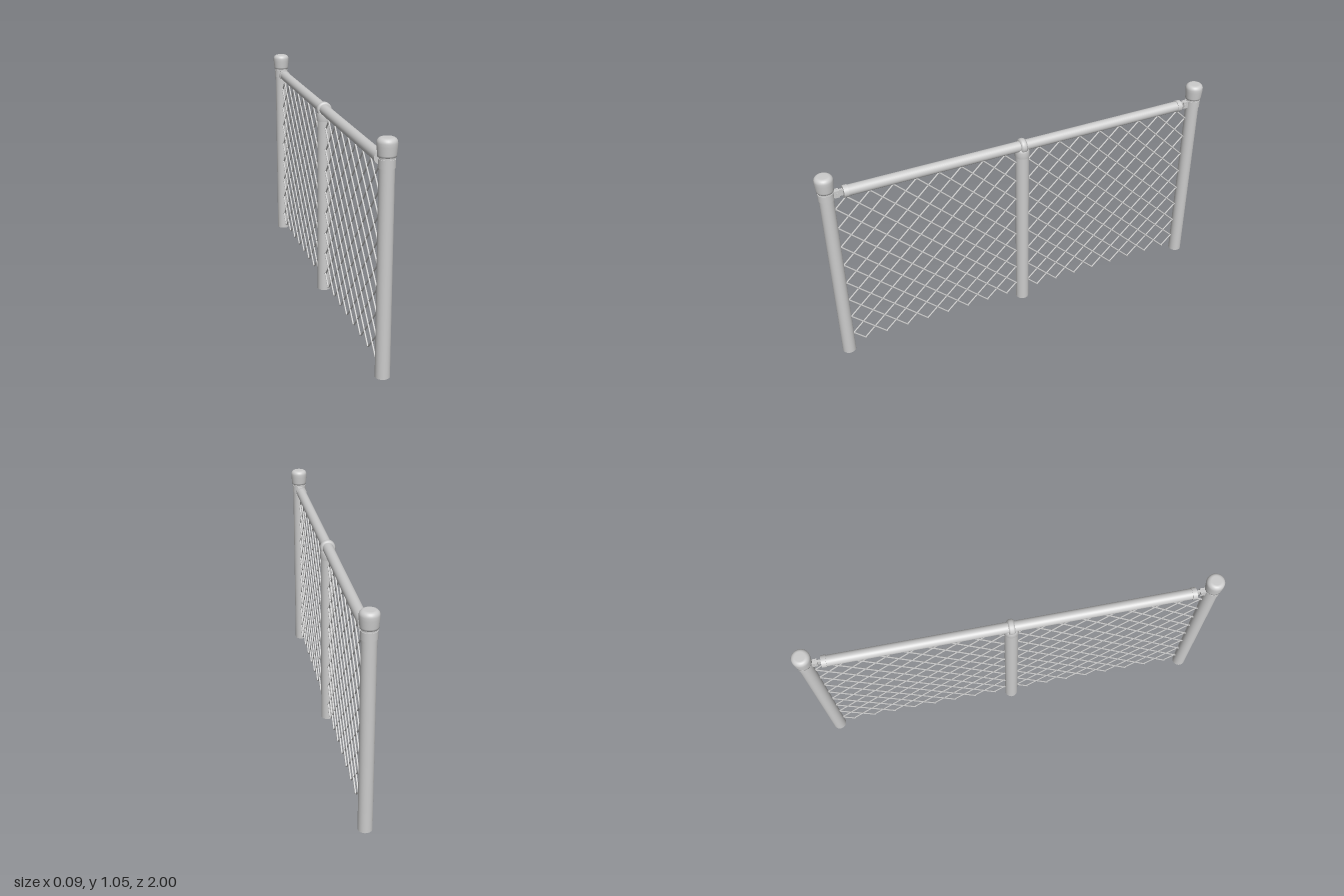
import * as THREE from 'three';

const material = new THREE.MeshStandardMaterial({ color: 0xcccccc });
const V2 = (x, y) => new THREE.Vector2(x, y);
const V3 = (x, y, z) => new THREE.Vector3(x, y, z);

const RAIL_Y = 0.949, POST_Z = 0.957, POST_R = 0.033;

function add(parent, name, geometry, x = 0, y = 0, z = 0) {
  const mesh = new THREE.Mesh(geometry, material);
  mesh.name = name;
  mesh.position.set(x, y, z);
  parent.add(mesh);
  return mesh;
}

// Straight round bar between two points
function bar(parent, name, a, b, radius, sides = 32) {
  const dir = b.clone().sub(a);
  const mesh = add(parent, name, new THREE.CylinderGeometry(radius, radius, dir.length(), sides));
  mesh.position.copy(a).add(b).multiplyScalar(0.5);
  mesh.quaternion.setFromUnitVectors(V3(0, 1, 0), dir.normalize());
  return mesh;
}

// Corner post with cap, brace band and rail cup, built for the +z end
function endPost() {
  const g = new THREE.Group();
  g.name = 'endPost';
  bar(g, 'post', V3(0, 0, POST_Z), V3(0, 1, POST_Z), POST_R);

  const cap = [V2(0.032, 0.977), V2(0.039, 0.977), V2(0.0395, 0.985), V2(0.043, 1.02), V2(0.043, 1.034)];
  for (let i = 1; i <= 6; i++) {
    const a = (i / 6) * Math.PI / 2;
    cap.push(V2(0.023 + 0.02 * Math.cos(a), 1.034 + 0.021 * Math.sin(a)));
  }
  cap.push(V2(0, 1.055));
  add(g, 'postCap', new THREE.LatheGeometry(cap, 32), 0, 0, POST_Z);

  // Band round the post, its two lugs, the bolt and the tab of the rail cup
  bar(g, 'braceBand', V3(0, 0.93, POST_Z), V3(0, 0.967, POST_Z), 0.036);
  for (const s of [-1, 1])
    add(g, 'bandLug', new THREE.BoxGeometry(0.006, 0.036, 0.03), s * 0.009, 0.9485, 0.912);
  add(g, 'cupTab', new THREE.BoxGeometry(0.011, 0.032, 0.044), 0, RAIL_Y, 0.899);
  bar(g, 'bolt', V3(-0.016, RAIL_Y, 0.907), V3(0.016, RAIL_Y, 0.907), 0.006, 12);
  bar(g, 'railCup', V3(0, RAIL_Y, 0.857), V3(0, RAIL_Y, 0.879), 0.029);
  return g;
}

// Middle post with the looped cap that carries the rail
function linePost() {
  const g = new THREE.Group();
  g.name = 'linePost';
  bar(g, 'post', V3(0, 0, 0), V3(0, 0.92, 0), POST_R);
  const sleeve = [V2(0.032, 0.893), V2(0.036, 0.893), V2(0.036, 0.925), V2(0.031, 0.938), V2(0.018, 0.948), V2(0, 0.948)];
  add(g, 'loopSleeve', new THREE.LatheGeometry(sleeve, 32));
  const loop = [V2(0.024, -0.015), V2(0.033, -0.015), V2(0.037, -0.007), V2(0.037, 0.007), V2(0.033, 0.015), V2(0.024, 0.015)];
  add(g, 'railLoop', new THREE.LatheGeometry(loop, 32), 0, RAIL_Y, 0).rotation.x = Math.PI / 2;
  return g;
}

// Diamond wire lattice: two families of crossing diagonals
function wirePanel(zMin) {
  const g = new THREE.Group();
  g.name = 'wirePanel';
  const n = 8, stepZ = 0.111, stepY = 0.1096, y0 = 0.041, x = 0.002;
  for (let o = 0.5 - n; o < n; o++) {
    const u0 = Math.max(0, o), v0 = Math.max(0, -o);
    const u1 = n - v0, v1 = n - u0;
    bar(g, 'risingWire', V3(x, y0 + v0 * stepY, zMin + u0 * stepZ), V3(x, y0 + v1 * stepY, zMin + u1 * stepZ), 0.004, 8);
    bar(g, 'fallingWire', V3(-x, y0 + v0 * stepY, zMin + (n - u0) * stepZ), V3(-x, y0 + v1 * stepY, zMin + (n - u1) * stepZ), 0.004, 8);
  }
  return g;
}

export function createModel() {
  const fence = new THREE.Group();
  fence.name = 'fence';

  const front = endPost();
  const back = endPost();
  back.rotation.y = Math.PI;
  fence.add(front, back, linePost());

  bar(fence, 'topRail', V3(0, RAIL_Y, -0.872), V3(0, RAIL_Y, 0.872), 0.026);

  fence.add(wirePanel(0.034), wirePanel(-0.922));
  return fence;
}
